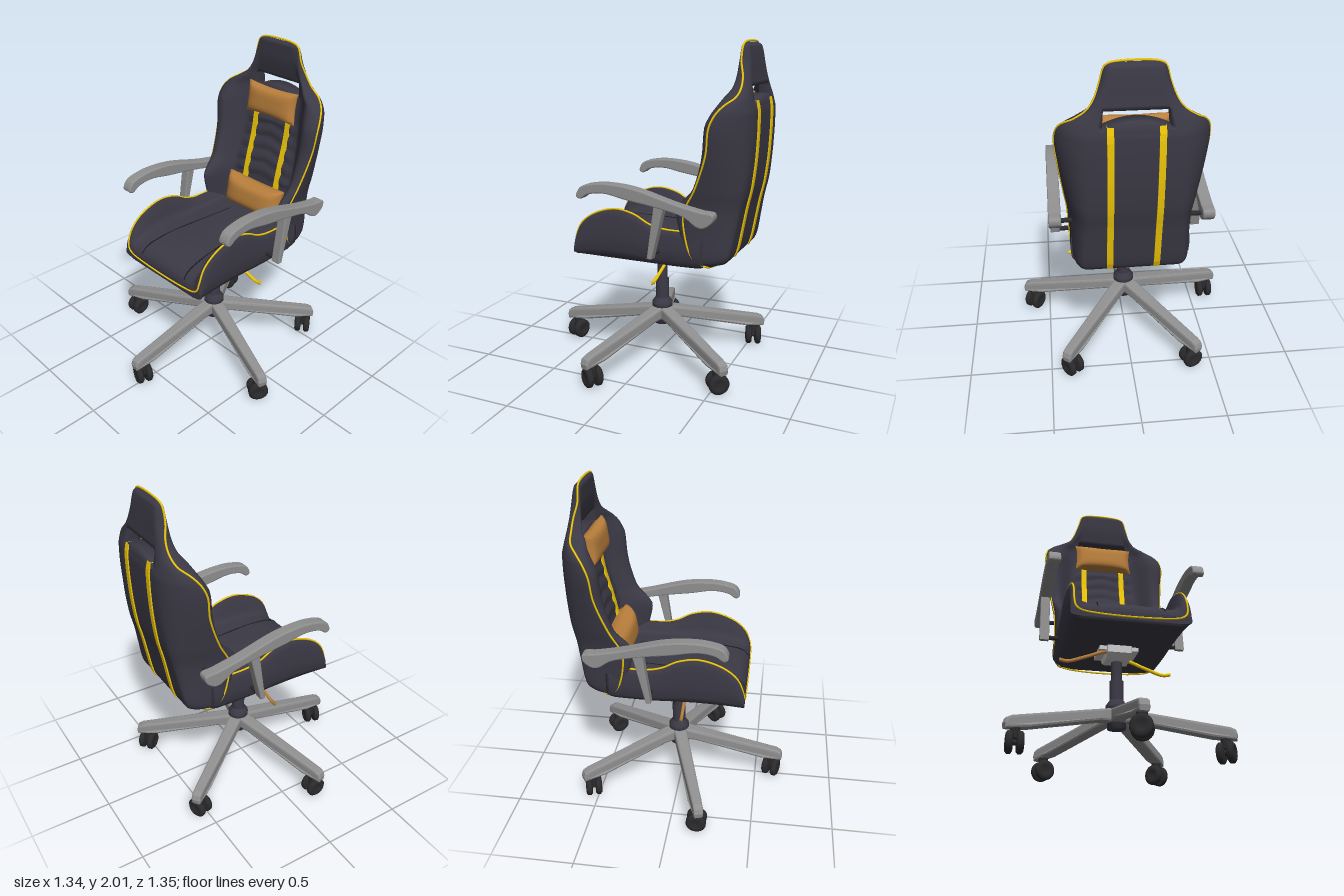
import * as THREE from 'three';
import { mergeVertices } from 'three/addons/utils/BufferGeometryUtils.js';

const mat = (color) => new THREE.MeshStandardMaterial({ color });
const DARK = mat(0x3b3945), SEAM = mat(0x1d1c22), YELLOW = mat(0xf0c808), TAN = mat(0xb97f3c);
const GREY = mat(0x8f8f8f), BLACK = mat(0x2b2b2d), LIGHT = mat(0xcccccc);
const V = (x, y, z) => new THREE.Vector3(x, y, z);

function add(parent, name, geo, material, x = 0, y = 0, z = 0) {
  const m = new THREE.Mesh(geo, material);
  m.name = name;
  m.position.set(x, y, z);
  parent.add(m);
  return m;
}

// Monotone cubic lookup in a table whose first column is the key
function lookup(table, k) {
  let i = 0;
  while (i < table.length - 2 && k > table[i + 1][0]) i++;
  const a = table[i], b = table[i + 1], h = b[0] - a[0], t = (k - a[0]) / h;
  const sec = (j, c) => (table[j + 1][c] - table[j][c]) / (table[j + 1][0] - table[j][0]);
  const slope = (j, c) => {
    if (j === 0) return sec(0, c);
    if (j === table.length - 1) return sec(j - 1, c);
    const p = sec(j - 1, c), q = sec(j, c);
    return p * q <= 0 ? 0 : (2 * p * q) / (p + q);
  };
  return a.map((v, c) => c === 0 ? k :
    v * (1 + 2 * t) * (1 - t) ** 2 + b[c] * t * t * (3 - 2 * t) +
    h * (slope(i, c) * t * (1 - t) ** 2 + slope(i + 1, c) * t * t * (t - 1)));
}

// Vertex and quad lists to a smooth geometry
function surface(points, quads) {
  const g = new THREE.BufferGeometry();
  g.setAttribute('position', new THREE.Float32BufferAttribute(points.flat(), 3));
  g.setIndex(quads.flatMap(([a, b, c, d]) => [a, b, c, a, c, d]));
  const m = mergeVertices(g, 1e-5);
  m.computeVertexNormals();
  return m;
}

// Side outline given as [z, y], extruded across x and centred
function slab(pts, width, bevel = 0) {
  const s = new THREE.Shape(pts.map(([z, y]) => new THREE.Vector2(z, y)));
  const g = new THREE.ExtrudeGeometry(s, {
    depth: width - 2 * bevel, bevelEnabled: bevel > 0, bevelSize: bevel, bevelThickness: bevel,
    bevelOffset: -bevel, bevelSegments: 2 });
  return g.translate(0, 0, bevel - width / 2).rotateY(-Math.PI / 2);
}

const tube = (pts, r, closed = false, n = 100) =>
  new THREE.TubeGeometry(new THREE.CatmullRomCurve3(pts, closed), n, r, 6, closed);

// Backrest: y, half width, panel half width, z of back, panel, bolster crest, piped edge
const BACK = [
  [0.73, 0.29, 0.22, -0.47, -0.45, -0.42, -0.44], [0.76, 0.335, 0.26, -0.54, -0.41, -0.36, -0.39],
  [0.80, 0.345, 0.28, -0.56, -0.40, -0.32, -0.35], [0.95, 0.355, 0.26, -0.59, -0.43, -0.27, -0.31],
  [1.06, 0.362, 0.245, -0.61, -0.45, -0.25, -0.31], [1.20, 0.38, 0.235, -0.64, -0.48, -0.36, -0.38],
  [1.40, 0.405, 0.21, -0.66, -0.53, -0.415, -0.45], [1.55, 0.42, 0.20, -0.665, -0.55, -0.43, -0.47],
  [1.62, 0.41, 0.19, -0.665, -0.56, -0.46, -0.50], [1.67, 0.38, 0.18, -0.655, -0.57, -0.49, -0.54],
  [1.71, 0.32, 0.175, -0.645, -0.575, -0.51, -0.585], [1.76, 0.25, 0.17, -0.635, -0.575, -0.54, -0.595],
  [1.82, 0.21, 0.15, -0.625, -0.565, -0.55, -0.59], [1.90, 0.18, 0.13, -0.615, -0.555, -0.555, -0.57],
  [1.98, 0.155, 0.115, -0.60, -0.555, -0.56, -0.57], [2.00, 0.12, 0.09, -0.575, -0.57, -0.57, -0.572]];

function backrestGeometry() {
  const rows = [], span = (a, b, n) => { for (let i = 0; i < n; i++) rows.push(a + (b - a) * i / n); };
  span(0.73, 0.8, 6); span(0.8, 1.67, 58); span(1.67, 1.765, 6); span(1.765, 1.97, 10); span(1.97, 2, 5);
  rows.push(2);
  const lo = 64, hi = 70, side = 12, mid = 16, cols = side * 2 + mid + 1;
  const points = [], quads = [];
  for (const [r, y] of rows.entries()) {
    const [, w, h, zB, zP, zC, zE] = lookup(BACK, y);
    for (let c = 0; c < cols; c++) {
      const k = c - (cols - 1) / 2, s = Math.sign(k), a = Math.abs(k);
      const t = a <= mid / 2 ? 0 : 1 - (1 - (a - mid / 2) / side) ** 1.6;
      const x = a <= mid / 2 ? h * k / (mid / 2) : s * (h + (w - h) * t);
      let zF = t < 0.7 ? zP + (zC - zP) * THREE.MathUtils.smoothstep(t, 0, 0.7)
        : zE + (zC - zE) * Math.sqrt(Math.max(0, 1 - ((t - 0.7) / 0.3) ** 2));
      // chevron quilting on the panel
      if (a < mid / 2 && y > 1.1 && y < 1.5) zF += 0.012 * Math.abs(Math.sin(Math.PI * (y + Math.abs(x) * 0.2 - 1.12) / 0.085));
      const zR = zE + (zB - zE) * (1 - t ** 2.2) ** 0.6;
      // arched top of the panel under the slot
      const yy = r === lo && a < mid / 2 ? y + 0.045 * (1 - (a / (mid / 2)) ** 2) : y;
      points.push([x, yy, zF], [x, yy, zR]);
    }
  }
  const F = (r, c) => 2 * (r * cols + c), B = (r, c) => F(r, c) + 1;
  const hole = (r, c) => r >= lo && r < hi && c >= side && c < side + mid;
  const last = rows.length - 1;
  for (let r = 0; r < last; r++) for (let c = 0; c < cols - 1; c++) {
    if (hole(r, c)) continue;
    quads.push([F(r, c), F(r, c + 1), F(r + 1, c + 1), F(r + 1, c)]);
    quads.push([B(r, c), B(r + 1, c), B(r + 1, c + 1), B(r, c + 1)]);
  }
  const up = (r, c) => quads.push([F(r, c), F(r, c + 1), B(r, c + 1), B(r, c)]);
  const down = (r, c) => quads.push([F(r, c), B(r, c), B(r, c + 1), F(r, c + 1)]);
  for (let c = 0; c < cols - 1; c++) { up(last, c); down(0, c); }
  for (let c = side; c < side + mid; c++) { up(lo, c); down(hi, c); }
  for (let r = lo; r < hi; r++) {
    const e = side + mid;
    quads.push([F(r, side), B(r, side), B(r + 1, side), F(r + 1, side)]);
    quads.push([F(r, e), F(r + 1, e), B(r + 1, e), B(r, e)]);
  }
  return surface(points, quads);
}

// Seat: z, bolster top, cushion height, underside
const SEAT = [
  [-0.42, 0.92, 0.86, 0.73], [-0.38, 0.94, 0.87, 0.71], [-0.17, 0.94, 0.87, 0.705], [-0.08, 0.96, 0.87, 0.705],
  [0.02, 1.01, 0.87, 0.705], [0.14, 1.03, 0.87, 0.705], [0.28, 0.99, 0.855, 0.705], [0.37, 0.92, 0.83, 0.705],
  [0.41, 0.83, 0.79, 0.71], [0.42, 0.77, 0.757, 0.725]];

function seatGeometry() {
  const points = [], quads = [], n = 60;
  let ring;
  for (let i = 0; i <= n; i++) {
    const z = -0.42 + 0.84 * Math.sin(i / n * Math.PI / 2);
    const [, top, cush, b] = lookup(SEAT, z), d = top - b;
    const half = [[0, b], [0.15, b], [0.28, b], [0.325, b + 0.08 * d], [0.347, b + 0.22 * d], [0.352, b + 0.5 * d],
      [0.348, top - 0.15 * d], [0.338, top - 0.03 * d], [0.325, top], [0.31, top - 0.04 * d],
      [0.295, cush + (top - cush) * 0.4], [0.28, cush + (top - cush) * 0.1], [0.25, cush], [0.13, cush + 0.008], [0, cush + 0.01]];
    ring = [...half, ...half.slice(1, -1).reverse().map(([x, y]) => [-x, y])];
    ring.forEach(([x, y]) => points.push([x, y, z]));
  }
  const m = ring.length, id = (i, j) => i * m + j % m;
  for (let i = 0; i < n; i++) for (let j = 0; j < m; j++) quads.push([id(i, j), id(i, j + 1), id(i + 1, j + 1), id(i + 1, j)]);
  // end caps, spanning left to right
  for (let j = 0; j < m / 2 - 1; j++) {
    quads.push([id(n, j), id(n, j + 1), id(n, m - j - 1), id(n, m - j)]);
    quads.push([id(0, j + 1), id(0, j), id(0, m - j), id(0, m - j - 1)]);
  }
  return surface(points, quads);
}

// Cushion with pinched corners
function pillowGeometry(w, h, d) {
  const g = new THREE.BoxGeometry(2, 2, 2, 20, 16, 4), p = g.attributes.position;
  for (let i = 0; i < p.count; i++) {
    const x = p.getX(i), y = p.getY(i), z = p.getZ(i);
    const puff = 0.12 + 0.88 * Math.sqrt((1 - x ** 4) * (1 - y ** 4));
    p.setXYZ(i, w * x * (0.95 + 0.05 * y * y), h * y * (0.88 + 0.12 * x * x), d * z * puff);
  }
  g.deleteAttribute('normal');
  g.deleteAttribute('uv');
  const m = mergeVertices(g, 1e-5);
  m.computeVertexNormals();
  return m;
}

export function createModel() {
  const chair = new THREE.Group();
  chair.name = 'chair';

  // Upholstery
  add(chair, 'backrest', backrestGeometry(), DARK);
  add(chair, 'seat', seatGeometry(), DARK);
  add(chair, 'headPillow', pillowGeometry(0.2, 0.1, 0.05), TAN, 0, 1.61, -0.525).rotation.x = -0.12;
  add(chair, 'lumbarPillow', pillowGeometry(0.235, 0.105, 0.085), TAN, 0, 0.99, -0.395).rotation.x = -0.15;

  // Piping
  const edge = BACK.map(([y, w, , , , , z]) => V(w, y, z));
  const flip = (pts) => pts.map((p) => V(-p.x, p.y, p.z)).reverse();
  add(chair, 'backPiping', tube([...edge, ...flip(edge)], 0.006, true, 240), YELLOW);
  const rim = SEAT.slice(1, -1).map(([z, top]) => V(0.33, top, z));
  rim.push(V(0.32, 0.785, 0.418), V(0.28, 0.76, 0.42));
  add(chair, 'seatPiping', tube([...rim, ...flip(rim)], 0.006, false, 160), YELLOW);

  // Straps over the back panel, and cushion seams
  const ys = Array.from({ length: 19 }, (_, i) => 0.95 + i * 0.0405);
  const strap = [...ys.map((y) => [lookup(BACK, y)[4] + 0.015, y]),
    ...Array.from({ length: 24 }, (_, i) => 1.685 - i * 0.04).map((y) => [lookup(BACK, y)[3] - 0.008, y])];
  for (const s of [-1, 1]) {
    add(chair, 'strap', slab(strap, 0.036), YELLOW, s * 0.135);
    const seam = [-0.3, -0.1, 0.1, 0.28, 0.37, 0.41].map((z) => V(s * (0.16 + 0.09 * z), lookup(SEAT, z)[2] + 0.006, z));
    add(chair, 'seatSeam', tube(seam, 0.004, false, 40), SEAM);
  }

  // Armrests
  const armCurve = new THREE.CatmullRomCurve3([[0.325, 1.12], [0.30, 1.175], [0.2, 1.205], [0.1, 1.21], [-0.05, 1.195],
    [-0.3, 1.13], [-0.45, 1.1], [-0.52, 1.09], [-0.52, 1.05], [-0.47, 1.01], [-0.43, 1.01], [-0.35, 1.06], [-0.2, 1.095],
    [0, 1.125], [0.15, 1.15], [0.25, 1.135], [0.3, 1.105]].map(([z, y]) => V(z, y, 0)), true);
  const armOutline = armCurve.getPoints(70).slice(0, -1).map((p) => [p.x, p.y]);
  for (const s of [-1, 1]) {
    const arm = new THREE.Group();
    arm.name = s > 0 ? 'leftArmrest' : 'rightArmrest';
    chair.add(arm);
    add(arm, 'armPad', slab(armOutline, 0.072, 0.008), GREY, s * 0.437);
    add(arm, 'armPost', slab([[-0.17, 1.12], [-0.23, 1.11], [-0.155, 0.79], [-0.125, 0.79]], 0.06, 0.006), GREY, s * 0.437);
    add(arm, 'seatBolt', new THREE.CylinderGeometry(0.014, 0.014, 0.1, 12).rotateZ(Math.PI / 2), BLACK, s * 0.37, 0.81, -0.145);
    add(arm, 'backBolt', new THREE.CylinderGeometry(0.014, 0.014, 0.12, 12).rotateZ(Math.PI / 2), BLACK, s * 0.36, 1.05, -0.46);
  }

  // Tilt mechanism and levers
  add(chair, 'mechanism', slab([[0.08, 0.71], [-0.14, 0.71], [-0.14, 0.66], [-0.08, 0.63], [0.03, 0.63], [0.08, 0.66]], 0.15, 0.008), LIGHT);
  add(chair, 'mountPlate', new THREE.BoxGeometry(0.24, 0.03, 0.2), LIGHT, 0, 0.695, -0.04);
  add(chair, 'leverPivot', new THREE.CylinderGeometry(0.018, 0.018, 0.16, 14).rotateZ(Math.PI / 2), TAN, 0, 0.68, 0.035);
  const lever = (s, z) => tube([V(0, 0.68, z), V(s * 0.08, 0.675, z), V(s * 0.2, 0.632, z), V(s * 0.31, 0.597, z), V(s * 0.36, 0.605, z)], 0.011, false, 30);
  add(chair, 'tiltLever', lever(-1, 0.035), TAN);
  add(chair, 'heightLever', lever(1, -0.1), YELLOW);

  // Gas column and hub
  const base = new THREE.Group();
  base.name = 'base';
  base.position.z = -0.025;
  chair.add(base);
  const profile = [[0, 0.215], [0.055, 0.215], [0.055, 0.32], [0.066, 0.33], [0.066, 0.355], [0.045, 0.385], [0.042, 0.39],
    [0.042, 0.51], [0.033, 0.515], [0.033, 0.71]].map(([r, y]) => new THREE.Vector2(r, y));
  add(base, 'column', new THREE.LatheGeometry(profile, 28), DARK);

  // Five legs with twin-wheel casters
  const legGeo = slab([[0.02, 0.335], [0.08, 0.325], [0.66, 0.205], [0.69, 0.19], [0.70, 0.16], [0.695, 0.13], [0.56, 0.145], [0.12, 0.245], [0.02, 0.25]], 0.085, 0.014);
  const lp = legGeo.attributes.position;
  for (let i = 0; i < lp.count; i++) if (lp.getZ(i) > 0.64) lp.setX(i, lp.getX(i) * 0.72);
  legGeo.computeVertexNormals();
  const wheel = new THREE.LatheGeometry([[0, -0.02], [0.05, -0.02], [0.062, -0.01], [0.062, 0.01], [0.05, 0.02], [0.03, 0.022], [0.026, 0.014], [0, 0.014]]
    .map(([r, y]) => new THREE.Vector2(r, y)), 24).rotateZ(-Math.PI / 2);
  for (let i = 0; i < 5; i++) {
    const leg = new THREE.Group();
    leg.name = 'leg';
    leg.rotation.y = i * Math.PI * 0.4;
    base.add(leg);
    add(leg, 'legBeam', legGeo, GREY);
    const caster = new THREE.Group();
    caster.name = 'caster';
    caster.position.set(0, 0, 0.63);
    caster.rotation.y = Math.PI * 0.4;
    leg.add(caster);
    for (const s of [-1, 1]) add(caster, 'wheel', wheel, BLACK, s * 0.03, 0.062, 0).rotation.y = s > 0 ? 0 : Math.PI;
    add(caster, 'axle', new THREE.CylinderGeometry(0.016, 0.016, 0.07, 10).rotateZ(Math.PI / 2), BLACK, 0, 0.062, 0);
    add(caster, 'stem', new THREE.CylinderGeometry(0.03, 0.03, 0.08, 14), BLACK, 0, 0.12, 0);
  }
  return chair;
}
